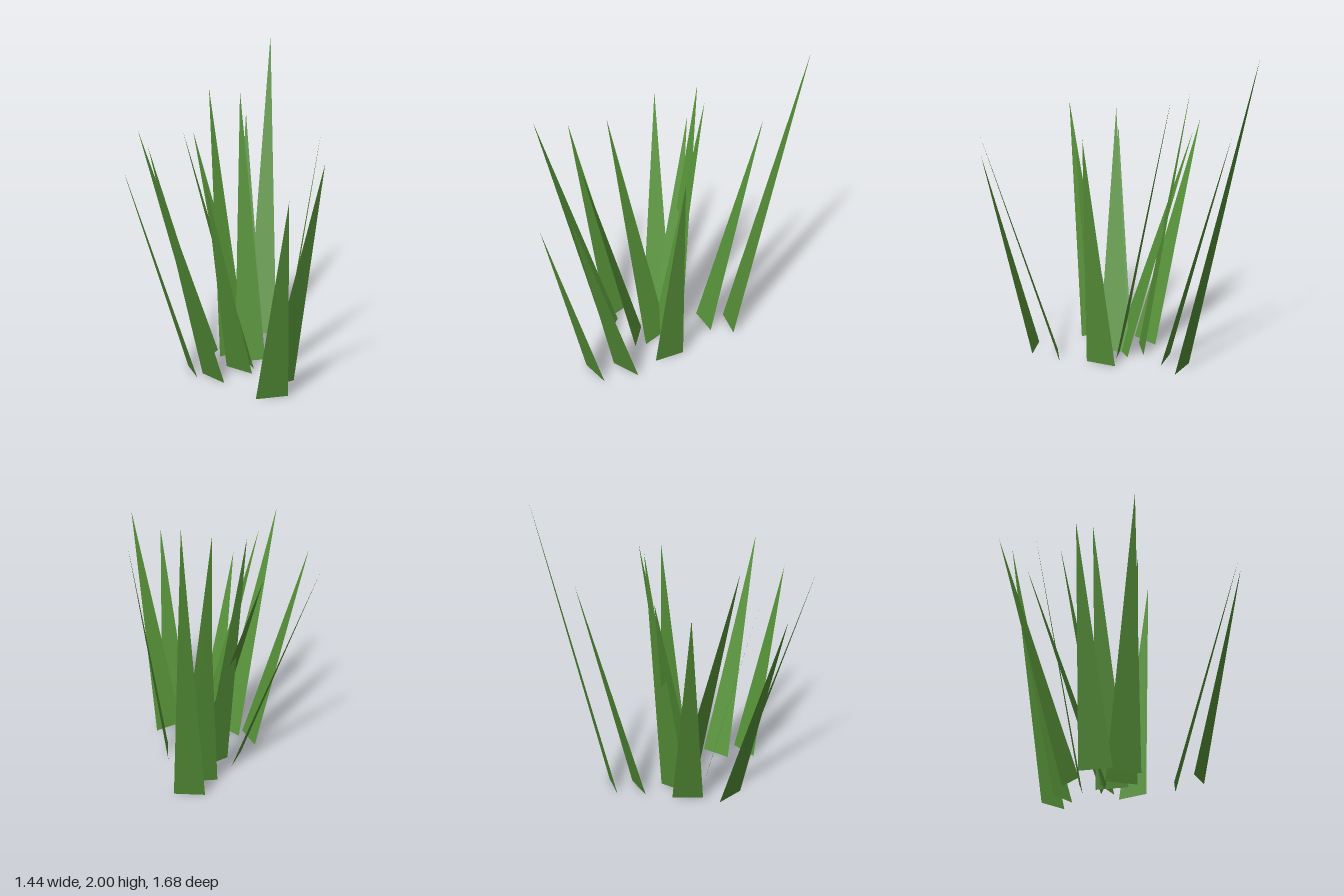
import * as THREE from 'three';

const BLADE_WIDTH = 0.2;

// Each blade: base centre x, z, then tip x, y, z
const BLADES = [
  [-0.047, -0.396, -0.17, 2.0, -0.84],
  [-0.075, -0.227, -0.247, 1.5, -0.59],
  [0.26, 0.028, 0.472, 1.52, -0.055],
  [0.362, 0.32, 0.718, 1.48, 0.598],
  [0.388, 0.52, 0.58, 1.3, 0.78],
  [-0.21, 0.088, -0.72, 1.46, 0.07],
  [-0.212, 0.365, -0.513, 1.35, 0.642],
  [-0.05, 0.405, -0.235, 1.54, 0.84],
  [0.05, 0.228, -0.025, 1.3, 0.55],
  [0.063, 0.106, -0.242, 1.55, 0.388],
  [0.058, 0.066, -0.128, 1.71, -0.208],
  [-0.088, 0.004, -0.332, 1.72, -0.18],
  [0.03, 0.068, -0.422, 1.44, -0.126],
];

// A flat tapering blade whose base lies square to the direction it leans
function bladeGeometry([bx, bz, tx, ty, tz]) {
  const side = new THREE.Vector2(tz - bz, bx - tx).setLength(BLADE_WIDTH / 2);
  const geometry = new THREE.BufferGeometry();
  geometry.setAttribute('position', new THREE.Float32BufferAttribute([
    bx + side.x, 0, bz + side.y,
    bx - side.x, 0, bz - side.y,
    tx, ty, tz,
  ], 3));
  geometry.setIndex([0, 2, 1]); // front of the face looks upward
  geometry.computeVertexNormals();
  if (geometry.attributes.normal.getY(0) < 0) {
    geometry.setIndex([0, 1, 2]);
    geometry.computeVertexNormals();
  }
  return geometry;
}

export function createModel() {
  const group = new THREE.Group();
  group.name = 'grassTuft';
  const grass = new THREE.MeshStandardMaterial({ color: 0x569138, side: THREE.DoubleSide });
  grass.name = 'grassGreen';

  BLADES.forEach((blade, i) => {
    const mesh = new THREE.Mesh(bladeGeometry(blade), grass);
    mesh.name = `grassBlade${i + 1}`;
    group.add(mesh);
  });
  return group;
}
